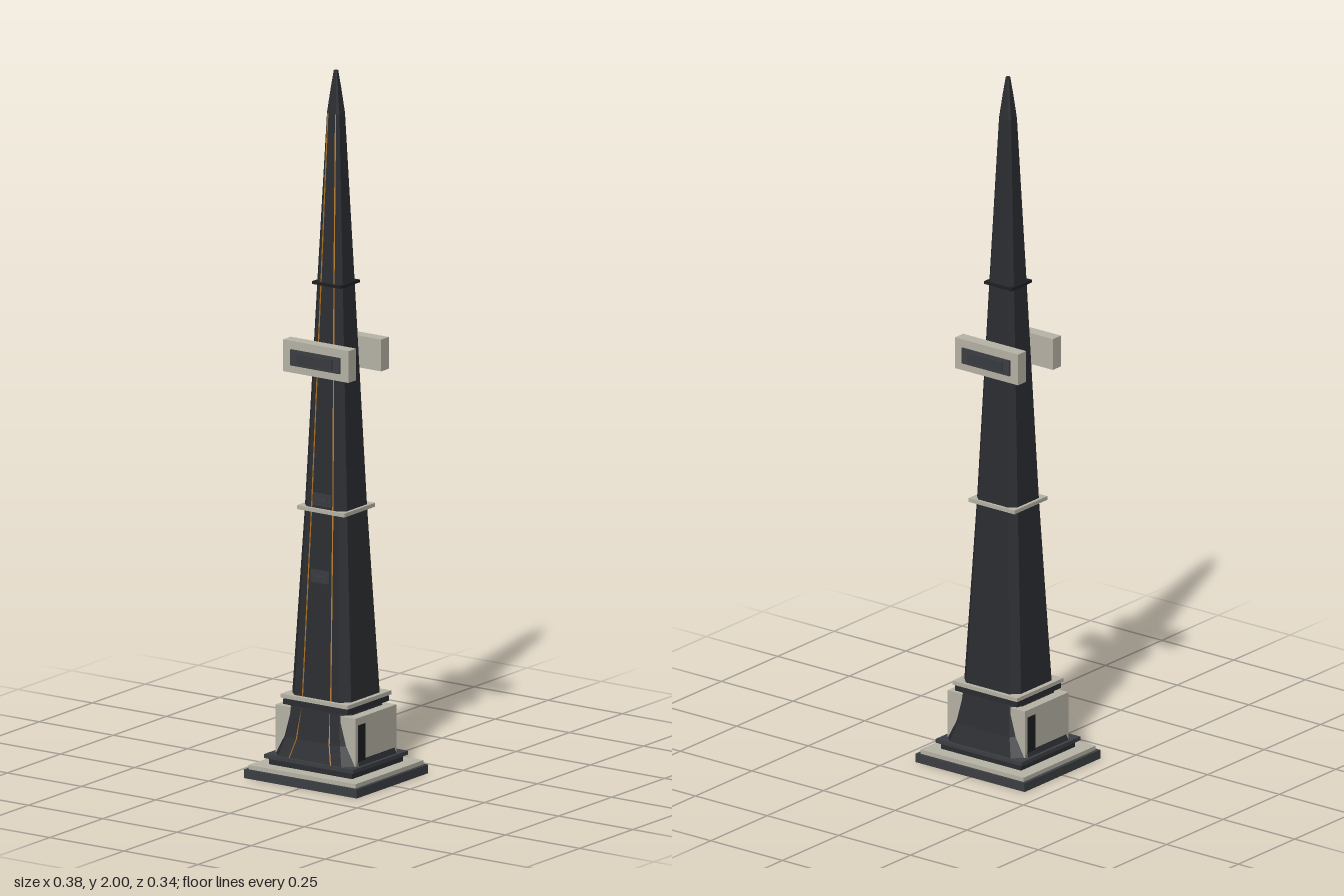
import * as THREE from 'three';

const mat = (color) => new THREE.MeshStandardMaterial({ color, flatShading: true });

// Chamfered rectangular loft; sections are [y, halfX, halfZ, chamfer]
function loft(sections) {
  const rings = sections.map(([y, a, b, c]) => [
    [a, b - c], [a, c - b], [a - c, -b], [c - a, -b],
    [-a, c - b], [-a, b - c], [c - a, b], [a - c, b],
  ].map(([x, z]) => [x, y, z]));
  const pos = [];
  const tri = (p, q, r) => pos.push(...p, ...q, ...r);
  for (let s = 0; s < rings.length - 1; s++) {
    const lo = rings[s], hi = rings[s + 1];
    for (let i = 0; i < 8; i++) {
      const j = (i + 1) % 8;
      tri(lo[i], lo[j], hi[j]);
      tri(lo[i], hi[j], hi[i]);
    }
  }
  const bottom = rings[0], top = rings[rings.length - 1];
  for (let i = 1; i < 7; i++) {
    tri(top[0], top[i], top[i + 1]);
    tri(bottom[0], bottom[i + 1], bottom[i]);
  }
  const g = new THREE.BufferGeometry();
  g.setAttribute('position', new THREE.Float32BufferAttribute(pos, 3));
  g.computeVertexNormals();
  return g;
}

export function createModel() {
  const model = new THREE.Group();
  const dark = mat(0x2b2d31), slate = mat(0x3c3f43), stone = mat(0xb8b4a7);
  const black = mat(0x1d1f22), amber = mat(0xb87a24), panelGrey = mat(0x383b40);

  const add = (name, geometry, material, parent = model) => {
    const m = new THREE.Mesh(geometry, material);
    m.name = name;
    parent.add(m);
    return m;
  };
  // Box from half widths and a y range
  const slab = (name, hx, hz, y0, y1, material) => {
    const m = add(name, new THREE.BoxGeometry(hx * 2, y1 - y0, hz * 2), material);
    m.position.y = (y0 + y1) / 2;
    return m;
  };

  // Stepped plinth
  slab('plinthBase', 0.19, 0.168, 0, 0.025, slate);
  slab('plinthPaving', 0.18, 0.16, 0.025, 0.037, stone);
  slab('plinthRecess', 0.14, 0.12, 0.037, 0.055, dark);
  slab('plinthTop', 0.15, 0.13, 0.055, 0.066, slate);

  // Flared foot, tapering shaft and spire
  const footSections = [[0.06, 0.143, 0.125, 0.035], [0.12, 0.121, 0.109, 0.03], [0.225, 0.101, 0.093, 0.024]];
  const shaftSections = [
    [0.22, 0.1, 0.092, 0.024], [0.765, 0.071, 0.065, 0.018],
    [1.4, 0.043, 0.04, 0.012], [1.88, 0.021, 0.02, 0.007],
  ];
  add('foot', loft(footSections), dark);
  add('shaft', loft(shaftSections), dark);
  add('spire', loft([[1.88, 0.021, 0.02, 0.007], [1.95, 0.012, 0.012, 0.004], [2, 0.005, 0.005, 0.0015]]), dark);

  // Collars
  slab('lowerDarkCollar', 0.108, 0.098, 0.208, 0.223, dark);
  slab('lowerCollar', 0.113, 0.103, 0.226, 0.237, stone);
  slab('middleCollar', 0.08, 0.073, 0.759, 0.77, stone);
  slab('upperCollar', 0.048, 0.045, 1.396, 1.404, black);

  // Front surface depth of foot and shaft at a height
  const frontZ = (y) => {
    const s = y < 0.22 ? footSections : shaftSections;
    let i = 0;
    while (i < s.length - 2 && y > s[i + 1][0]) i++;
    return THREE.MathUtils.mapLinear(y, s[i][0], s[i + 1][0], s[i][2], s[i + 1][2]);
  };

  // Amber light lines up the front, as [x, y]
  const line = [[0.07, 0.066], [0.055, 0.12], [0.048, 0.22], [0.036, 0.765], [0.022, 1.4], [0.013, 1.88]];
  for (const side of [-1, 1]) {
    for (let i = 0; i < line.length - 1; i++) {
      const [a, b] = [line[i], line[i + 1]].map(([x, y]) => new THREE.Vector3(side * x, y, frontZ(y)));
      const strip = add('lightLine', new THREE.BoxGeometry(0.0035, 0.002, a.distanceTo(b)), amber);
      strip.position.addVectors(a, b).multiplyScalar(0.5);
      strip.lookAt(b);
    }
  }

  // Small panels on the front face
  for (const y of [0.58, 0.795]) {
    const panel = new THREE.Group();
    panel.name = 'frontPanel';
    panel.position.set(0, y, frontZ(y));
    panel.rotation.x = -0.045;
    add('panelPlate', new THREE.BoxGeometry(0.062, 0.036, 0.004), panelGrey, panel);
    add('panelSlot', new THREE.BoxGeometry(0.036, 0.005, 0.006), slate, panel);
    model.add(panel);
  }

  // Entrance block with door, and a display board, repeated by a half turn
  for (const turn of [0, Math.PI]) {
    const half = new THREE.Group();
    half.name = turn ? 'backHalf' : 'frontHalf';
    half.rotation.y = turn;
    model.add(half);

    add('entranceBlock', new THREE.BoxGeometry(0.05, 0.138, 0.194), stone, half).position.set(0.11, 0.133, 0);
    add('door', new THREE.BoxGeometry(0.01, 0.115, 0.034), black, half).position.set(0.1315, 0.1235, 0.068);

    add('displayFrame', new THREE.BoxGeometry(0.22, 0.09, 0.036), stone, half).position.set(0, 1.195, 0.077);
    add('displayScreen', new THREE.BoxGeometry(0.166, 0.045, 0.01), slate, half).position.set(0, 1.194, 0.095);
    add('displayInset', new THREE.BoxGeometry(0.12, 0.03, 0.008), panelGrey, half).position.set(0, 1.194, 0.101);
    add('displayBracket', new THREE.BoxGeometry(0.04, 0.03, 0.03), dark, half).position.set(0, 1.195, 0.052);
  }
  return model;
}
